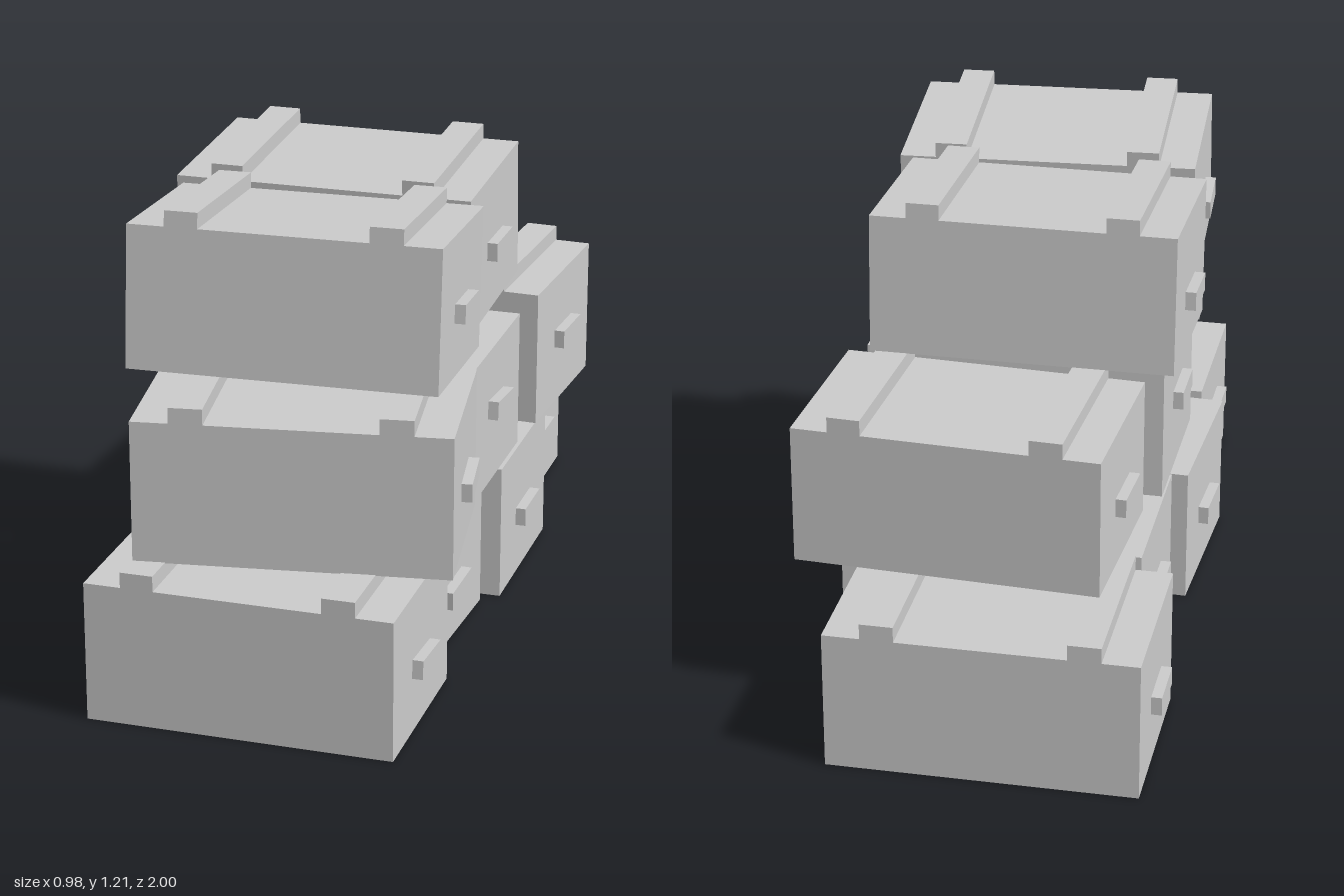
import * as THREE from 'three';

const W = 0.775, H = 0.36, D = 0.472, SLAT = 0.04;
const material = new THREE.MeshStandardMaterial({ color: 0xcccccc, flatShading: true });

function box(name, w, h, d, x, y, z) {
  const mesh = new THREE.Mesh(new THREE.BoxGeometry(w, h, d), material);
  mesh.name = name;
  mesh.position.set(x, y, z);
  return mesh;
}

// One crate, centred on its full height including the lid slats
function createCrate({ left = {}, right = {} }) {
  const crate = new THREE.Group();
  crate.add(box('crateBody', W, H, D, 0, -SLAT / 2, 0));
  for (const side of [-1, 1]) {
    crate.add(box('lidSlat', 0.083, SLAT, D, side * 0.252, H / 2, 0));
    const { y = 0.163, tilt = 0 } = side > 0 ? left : right;
    const handle = box('handle', 0.027, 0.048, 0.152, side * (W / 2 + 0.0135), y - 0.2, 0);
    handle.rotation.x = tilt;
    crate.add(handle);
  }
  return crate;
}

// Centre, rotation and handle placement of every crate
const crates = [
  // bottom row
  { name: 'bottomCrate', at: [0.0125, 0.2, 0.765], left: { tilt: -0.07 }, right: { y: 0.21 } },
  { name: 'bottomCrate', at: [-0.042, 0.2, 0.265], yaw: -0.048, left: { y: 0.135, tilt: 0.06 } },
  { name: 'bottomCrate', at: [0.0125, 0.2, -0.226] },
  { name: 'bottomCrate', at: [-0.077, 0.2, -0.762] },
  // middle row
  { name: 'middleCrate', at: [0.07, 0.598, 0.633], yaw: 0.153, left: { tilt: 0.06 } },
  { name: 'middleCrate', at: [0.0125, 0.577, 0.083], left: { y: 0.197, tilt: -0.09 }, right: { y: 0.2 } },
  { name: 'middleCrate', at: [0.053, 0.6, -0.498], yaw: -0.055, left: { y: 0.185 } },
  // top row
  { name: 'topCrate', at: [0.015, 0.993, 0.458], yaw: 0.057, pitch: -0.08 },
  { name: 'topCrate', at: [-0.037, 0.987, -0.072], pitch: 0.052, left: { tilt: -0.052 }, right: { y: 0.14 } },
];

export function createModel() {
  const model = new THREE.Group();
  model.name = 'crateStack';
  for (const spec of crates) {
    const crate = createCrate(spec);
    crate.name = spec.name;
    crate.position.set(...spec.at);
    crate.rotation.set(spec.pitch ?? 0, spec.yaw ?? 0, 0);
    model.add(crate);
  }
  return model;
}
